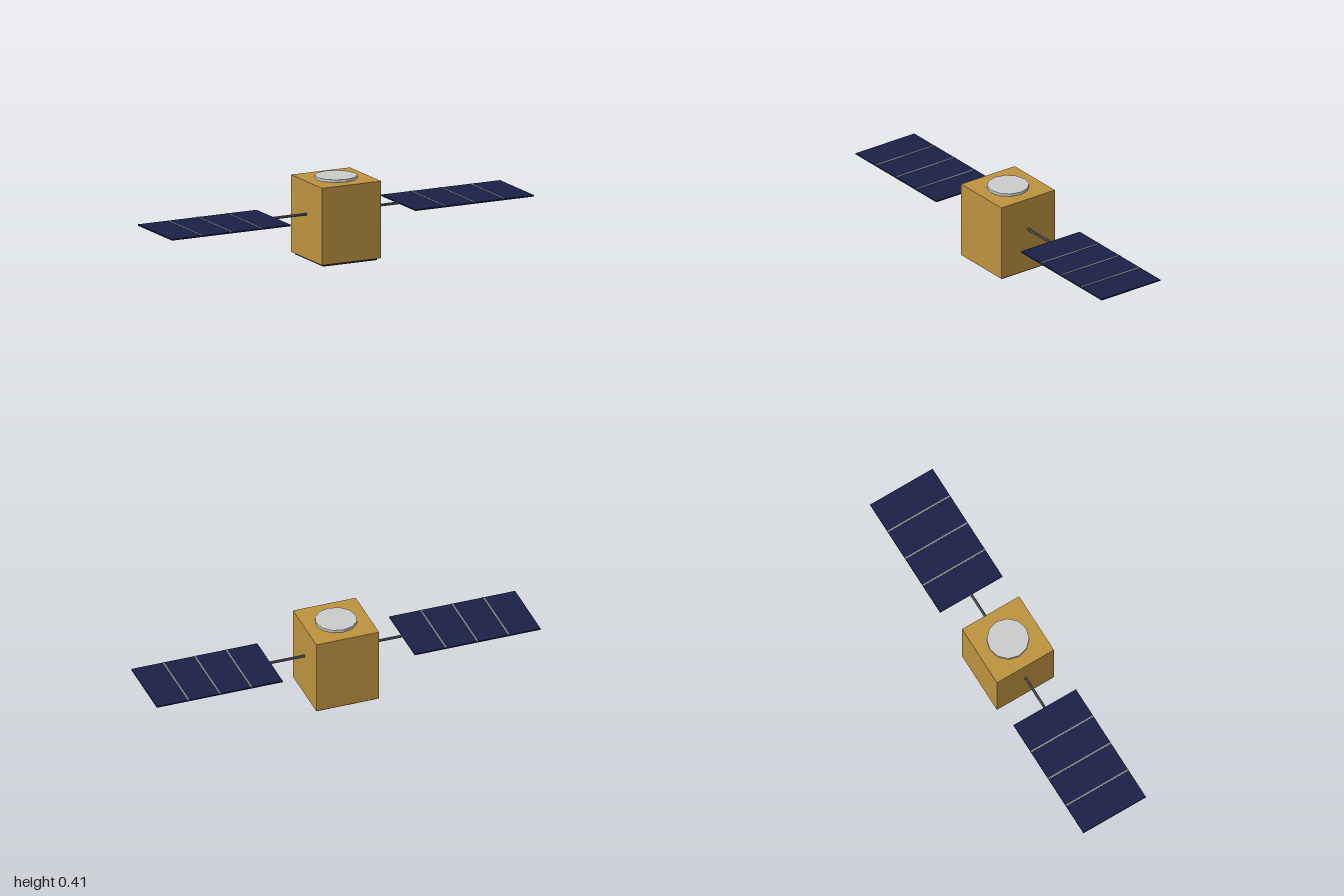
import * as THREE from 'three';

const mat = (color) => new THREE.MeshStandardMaterial({ color, flatShading: true });

export function createModel() {
  const model = new THREE.Group();
  model.name = 'satellite';
  const gold = mat(0xbc923f), silver = mat(0xcccccc), black = mat(0x222222);
  const navy = mat(0x1a2048), rodGrey = mat(0x666670), stripGrey = mat(0x888888);

  const add = (parent, name, geometry, material, x, y, z = 0) => {
    const mesh = new THREE.Mesh(geometry, material);
    mesh.name = name;
    mesh.position.set(x, y, z);
    parent.add(mesh);
    return mesh;
  };

  // Foil-wrapped body, base plate and twelve-sided top disc
  add(model, 'body', new THREE.BoxGeometry(0.327, 0.387, 0.327), gold, 0, 0.2045);
  add(model, 'basePlate', new THREE.BoxGeometry(0.298, 0.02, 0.298), black, 0, 0.01);
  add(model, 'topDisc', new THREE.CylinderGeometry(0.104, 0.104, 0.024, 12), silver, 0, 0.4);

  // Solar wings, mirrored to both sides
  for (const side of [1, -1]) {
    const wing = new THREE.Group();
    wing.name = side > 0 ? 'leftWing' : 'rightWing';
    model.add(wing);

    const boom = add(wing, 'boom', new THREE.CylinderGeometry(0.007, 0.007, 0.19, 8), rodGrey, side * 0.25, 0.234);
    boom.rotation.z = Math.PI / 2;

    add(wing, 'solarPanel', new THREE.BoxGeometry(0.656, 0.007, 0.358), navy, side * 0.672, 0.2345);

    // Dividers on the upper face
    for (let i = -1; i <= 1; i++) {
      add(wing, 'panelDivider', new THREE.BoxGeometry(0.008, 0.003, 0.358), stripGrey, side * (0.671 + i * 0.164), 0.238);
    }
  }
  return model;
}
